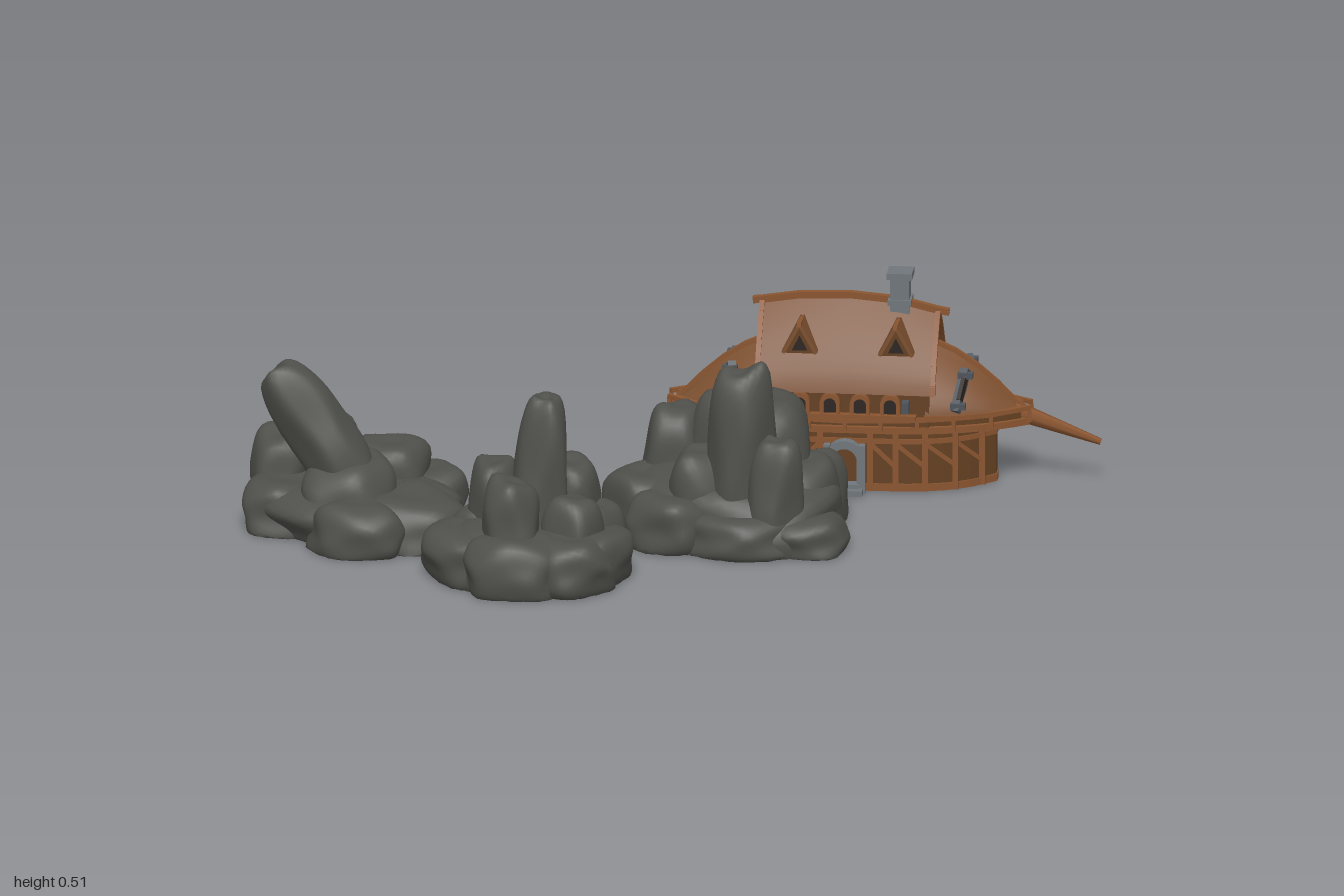
import * as THREE from 'three';
import { mergeVertices, toCreasedNormals } from 'three/addons/utils/BufferGeometryUtils.js';

const mat = (name, color, side = THREE.FrontSide) => {
  const m = new THREE.MeshStandardMaterial({ color, side });
  m.name = name;
  return m;
};
const V = (x, y, z) => new THREE.Vector3(x, y, z);

// Rock clusters: x, y, z, half sizes, taper, tilt
const clusters = {
  rightRocks: [
    [0.16, 0.04, 0, 0.27, 0.12, 0.23], [0.195, 0.2, 0.1, 0.085, 0.255, 0.078, 0.16],
    [0.2, 0.12, -0.085, 0.15, 0.2, 0.155, 0.1], [0.02, 0.13, -0.11, 0.085, 0.15, 0.1],
    [0.28, 0.1, 0.145, 0.07, 0.18, 0.075], [0.1, 0.09, 0.08, 0.09, 0.14, 0.09],
    [-0.05, 0.05, 0.03, 0.1, 0.1, 0.11], [0.03, 0.05, 0.13, 0.11, 0.08, 0.1],
    [0.2, 0.04, 0.17, 0.14, 0.06, 0.095], [0.35, 0.03, 0.12, 0.105, 0.06, 0.11],
    [0.34, 0.06, 0, 0.085, 0.13, 0.1], [0.34, 0.06, -0.09, 0.09, 0.11, 0.1], [0.05, 0.05, -0.16, 0.1, 0.12, 0.095]],
  middleRocks: [
    [-0.28, 0.04, 0.4, 0.2, 0.1, 0.18], [-0.262, 0.2, 0.335, 0.07, 0.235, 0.082, 0.22, -0.06],
    [-0.37, 0.12, 0.33, 0.065, 0.15, 0.08], [-0.2, 0.12, 0.28, 0.08, 0.14, 0.08],
    [-0.32, 0.13, 0.46, 0.07, 0.14, 0.075], [-0.18, 0.09, 0.4, 0.08, 0.12, 0.09],
    [-0.42, 0.05, 0.42, 0.12, 0.08, 0.12], [-0.3, 0.05, 0.51, 0.13, 0.09, 0.1], [-0.39, 0.05, 0.31, 0.09, 0.1, 0.1],
    [-0.13, 0.05, 0.41, 0.1, 0.08, 0.12], [-0.18, 0.05, 0.5, 0.11, 0.08, 0.09],
    [-0.31, 0.06, 0.26, 0.1, 0.12, 0.09], [-0.14, 0.05, 0.32, 0.09, 0.11, 0.09]],
  leftRocks: [
    [-0.72, 0.03, 0.05, 0.25, 0.09, 0.21], [-0.81, 0.24, 0.1, 0.08, 0.2, 0.075, 0.1, 0.6],
    [-0.92, 0.08, -0.05, 0.075, 0.13, 0.1], [-0.83, 0.08, -0.1, 0.1, 0.14, 0.085],
    [-0.66, 0.08, -0.03, 0.1, 0.11, 0.1], [-0.74, 0.07, 0.1, 0.12, 0.12, 0.12],
    [-0.58, 0.04, -0.05, 0.11, 0.08, 0.1], [-0.59, 0.04, 0.15, 0.14, 0.08, 0.13],
    [-0.71, 0.04, 0.24, 0.12, 0.08, 0.1], [-0.89, 0.04, 0.06, 0.11, 0.08, 0.12]],
};

// Boulder: a ball softly cut by random planes, with a test for points inside it
function makeRock([x, y, z, rx, ry, rz, taper = 0.06, tilt = 0], ball, rnd) {
  const planes = [V(0, 1.08, 0)], N = 16, turn = rnd() * 6;
  for (let i = 0; i < N; i++) {
    const h = 1 - (2 * i + 1) / N, r = Math.sqrt(1 - h * h), a = i * 2.4 + turn + rnd() * 0.6;
    planes.push(V(r * Math.cos(a), h, r * Math.sin(a)).divideScalar(0.85 + rnd() * 0.25));
  }
  const radius = d => {
    let s = 0;
    for (const n of planes) s += Math.max(0, n.dot(d)) ** 12;
    return s ** (-1 / 12) * (Math.hypot(d.x, d.z) ** 3.3 + Math.abs(d.y) ** 3.3) ** (-1 / 3.3);
  };
  const geo = ball.clone(), p = geo.attributes.position, v = V(0, 0, 0);
  const each = fn => {
    for (let i = 0; i < p.count; i++) {
      fn(v.fromBufferAttribute(p, i));
      p.setXYZ(i, v.x, v.y, v.z);
    }
  };
  each(() => v.normalize().multiplyScalar(radius(v)));
  geo.computeBoundingBox();
  const c = geo.boundingBox.getCenter(V(0, 0, 0)), half = geo.boundingBox.getSize(V(0, 0, 0)).multiplyScalar(0.5);
  const size = V(rx, ry, rz), axis = V(0, 0, 1), at = V(x, y, z);
  each(() => {
    v.sub(c).divide(half);
    const k = 1 - taper * v.y;
    v.multiply(V(k, 1, k)).multiply(size).applyAxisAngle(axis, tilt).add(at);
    v.y = Math.max(0, v.y);
  });
  const inside = q => {
    const w = q.clone().sub(at).applyAxisAngle(axis, -tilt).divide(size);
    const k = 1 - taper * w.y;
    w.divide(V(k, 1, k)).multiply(half).add(c);
    return w.length() < 0.97 * radius(w.clone().normalize());
  };
  return { geo, inside };
}

export function createModel() {
  const root = new THREE.Group();
  const rockMat = mat('dark rock', 0x4f504b, THREE.DoubleSide), roofMat = mat('roof brown', 0x7c5030, THREE.DoubleSide);
  const trimMat = mat('trim wood', 0x8a5530), wallMat = mat('wall wood', 0x644022);
  const stoneMat = mat('grey stone', 0x70767b), ironMat = mat('dark iron', 0x4d545b), darkMat = mat('dark opening', 0x2c2622);

  // Rocks: faces buried in one neighbour or lying on the ground are left out
  let seed = 7;
  const rnd = () => (seed = (seed * 16807) % 2147483647) / 2147483647;
  const sphere = new THREE.IcosahedronGeometry(1, 8);
  sphere.deleteAttribute('uv');
  sphere.deleteAttribute('normal');
  const ball = mergeVertices(sphere, 1e-4);
  for (const [name, list] of Object.entries(clusters)) {
    const group = new THREE.Group();
    group.name = name;
    root.add(group);
    const rocks = list.map(r => makeRock(r, ball, rnd));
    for (const rock of rocks) {
      const p = rock.geo.attributes.position, id = rock.geo.index.array, keep = [], cover = [];
      rock.geo.computeVertexNormals();
      for (let i = 0; i < p.count; i++) {
        const q = V(0, 0, 0).fromBufferAttribute(p, i);
        let bits = q.y <= 0 ? 1 : 0;
        rocks.forEach((o, k) => { if (o !== rock && o.inside(q)) bits |= 2 << k; });
        cover.push(bits);
      }
      for (let i = 0; i < id.length; i += 3) {
        const t = [id[i], id[i + 1], id[i + 2]];
        if (!(cover[t[0]] & cover[t[1]] & cover[t[2]])) keep.push(...t);
      }
      rock.geo.setIndex(keep);
      const m = new THREE.Mesh(rock.geo, rockMat);
      m.name = 'boulder';
      group.add(m);
    }
  }

  // Ship-shaped house, built around z = 0 then moved back
  const house = new THREE.Group();
  house.name = 'shipHouse';
  house.position.z = -0.44;
  root.add(house);
  const add = (name, geo, m) => {
    const mesh = new THREE.Mesh(geo, m);
    mesh.name = name;
    house.add(mesh);
  };
  const box = (name, w, h, d, x, y, z, m) => add(name, new THREE.BoxGeometry(w, h, d).translate(x, y, z), m);
  const beam = (name, a, b, w, h, m) => {
    const turn = new THREE.Matrix4().lookAt(b, a, V(0, 1, 0)).setPosition(a.clone().lerp(b, 0.5));
    add(name, new THREE.BoxGeometry(w, h, a.distanceTo(b) + 0.004).applyMatrix4(turn), m);
  };
  const beams = (name, pts, w, h) => pts.slice(1).forEach((q, i) => beam(name, pts[i], q, w, h, trimMat));
  // Lens-shaped plan: half width at x
  const plan = (len, w, tip, pow) => x => tip + (w - tip) * (1 - Math.min(1, Math.abs((x - 0.4) / len)) ** pow);
  const slab = (name, len, fn, y, h, m) => {
    const lower = [], upper = [];
    for (let i = 0; i <= 24; i++) {
      const x = 0.4 + len * (i / 12 - 1);
      lower.push(new THREE.Vector2(x, -fn(x)));
      upper.unshift(new THREE.Vector2(x, fn(x)));
    }
    const g = new THREE.ExtrudeGeometry(new THREE.Shape([...lower, ...upper]), { depth: h, bevelEnabled: false });
    add(name, g.rotateX(-Math.PI / 2).translate(0, y, 0), m);
  };
  const hull = plan(0.35, 0.118, 0.012, 4), deck = plan(0.43, 0.13, 0.022, 3);
  slab('lowerWall', 0.35, hull, 0, 0.15, wallMat);
  slab('sill', 0.353, x => hull(x) + 0.004, 0, 0.018, trimMat);
  slab('wallBand', 0.353, x => hull(x) + 0.004, 0.118, 0.012, trimMat);
  slab('deck', 0.43, deck, 0.145, 0.016, trimMat);
  slab('deckWall', 0.41, x => deck(x) - 0.012, 0.16, 0.02, wallMat);

  // Railing, wall posts and braces on both sides
  for (const s of [-1, 1]) {
    const rail = [];
    for (let i = -10; i <= 10; i++) {
      const x = 0.4 + 0.043 * i;
      rail.push(V(x, 0.176 + 0.0012 * Math.abs(i), s * deck(x)));
      if (i % 2 === 0) box('railPost', 0.01, 0.03, 0.01, x, 0.168, s * deck(x), trimMat);
    }
    beams('rail', rail, 0.01, 0.011);
    const xs = [0.08, 0.14, 0.21, 0.28, 0.34, 0.46, 0.52, 0.59, 0.66, 0.72];
    xs.forEach((x, i) => {
      box('wallPost', 0.014, 0.15, 0.012, x, 0.075, s * hull(x), trimMat);
      if (i === 4 || i === 9) return;
      const nx = xs[i + 1], [r0, r1] = i < 4 ? [0.06, 0.118] : [0.118, 0.06];
      beam('wallBrace', V(x, r0, s * hull(x)), V(nx, r1, s * hull(nx)), 0.01, 0.01, trimMat);
    });
  }

  // Pointed-arch cross-section as [z, y], from one eave over the ridge to the other
  const arch = (w, y0, y1, pow) => Array.from({ length: 17 }, (_, k) => {
    const i = k - 8, t = 1 - Math.abs(i) / 8;
    return [Math.sign(i) * w * (1 - t ** pow), y0 + (y1 - y0) * t];
  });
  const loft = (name, sections, pow) => {
    const pos = [], idx = [];
    sections.forEach(([x, w, y0, y1], k) => {
      for (const [z, y] of arch(w, y0, y1, pow)) pos.push(x, y, z);
      if (k) for (let i = 0; i < 16; i++) {
        const a = (k - 1) * 17 + i, b = a + 17;
        idx.push(a, a + 1, b, b, a + 1, b + 1);
      }
    });
    const g = new THREE.BufferGeometry();
    g.setAttribute('position', new THREE.Float32BufferAttribute(pos, 3));
    g.setIndex(idx);
    add(name, toCreasedNormals(g, 0.6), roofMat);
  };
  // Upper storey, main roof and gables
  box('upperWall', 0.4, 0.1, 0.236, 0.4, 0.205, 0, wallMat);
  const main = [[0.19, 0.135, 0.245, 0.432], [0.28, 0.135, 0.245, 0.446], [0.4, 0.135, 0.245, 0.45],
    [0.52, 0.135, 0.245, 0.44], [0.61, 0.135, 0.245, 0.418]];
  loft('mainRoof', main, 1.4);
  beams('mainRidge', [V(0.17, 0.43, 0), ...main.map(s => V(s[0], s[3], 0)), V(0.635, 0.414, 0)], 0.016, 0.016);
  const core = new THREE.Shape(arch(0.133, 0.245, 0.412, 1.4).map(p => new THREE.Vector2(...p)));
  add('gableWall', new THREE.ExtrudeGeometry(core, { depth: 0.4, bevelEnabled: false })
    .rotateY(-Math.PI / 2).translate(0.6, 0, 0), wallMat);
  for (const [x, w, y0, y1] of [main[0], main[4]])
    beams('gableRib', arch(w, y0, y1, 1.4).map(([z, y]) => V(x, y, z)), 0.012, 0.01);

  // Sloping end roofs, mirrored bow and stern, with eave boards and slanted windows
  for (const e of [-1, 1]) {
    const X = d => 0.4 + e * d;
    const end = [[0.19, 0.122, 0.178, 0.345], [0.25, 0.112, 0.178, 0.318], [0.3, 0.096, 0.178, 0.285],
      [0.35, 0.072, 0.178, 0.242], [0.39, 0.042, 0.178, 0.2], [0.41, 0.02, 0.178, 0.185]];
    loft('endRoof', end.map(([d, ...r]) => [X(d), ...r]), 1.8);
    beams('endRidge', end.map(s => V(X(s[0]), s[3], 0)), 0.014, 0.012);
    for (const s of [-1, 1]) {
      beams('eaveBoard', end.map(q => V(X(q[0]), 0.185, s * q[1])), 0.008, 0.012);
      const a = V(X(0.262), 0.2, s * 0.106), b = V(X(0.28), 0.285, s * 0.048), out = V(e * 0.004, 0.004, s * 0.004);
      beam('slantedWindowFrame', a, b, 0.02, 0.022, ironMat);
      for (const t of [0.1, 0.85]) {
        const m = a.clone().lerp(b, t).add(out);
        box('windowBracket', 0.036, 0.014, 0.018, m.x, m.y, m.z, ironMat);
      }
      beam('slantedWindowPane', a.clone().lerp(b, 0.25).add(out), b.clone().lerp(a, 0.25).add(out), 0.01, 0.02, darkMat);
    }
  }
  add('bowsprit', new THREE.CylinderGeometry(0.008, 0.024, 0.22, 6).rotateZ(-Math.PI / 2 - 0.34)
    .translate(0.895, 0.137, 0), trimMat);

  // Plates facing the given side
  const archShape = (w, h) => new THREE.Shape().moveTo(-w, 0).lineTo(w, 0).lineTo(w, h - w)
    .absarc(0, h - w, w, 0, Math.PI, false).lineTo(-w, 0);
  const gable = (w, h) => new THREE.Shape().moveTo(-w, 0).lineTo(w, 0).lineTo(0, h);
  const plate = (name, shape, depth, x, y, z, s, m) => {
    const g = new THREE.ExtrudeGeometry(shape, { depth, bevelEnabled: false, curveSegments: 6 });
    add(name, g.rotateY(s < 0 ? Math.PI : 0).translate(x, y, s * z), m);
  };
  for (const s of [-1, 1]) {
    // Window row with ledge and eave lanterns
    box('windowLedge', 0.34, 0.01, 0.024, 0.4, 0.188, s * 0.124, trimMat);
    for (let i = 0; i < 4; i++) {
      const x = 0.4 + (i - 1.5) * 0.072, frame = archShape(0.024, 0.05);
      frame.holes.push(archShape(0.015, 0.039));
      plate('windowFrame', frame, 0.016, x, 0.193, 0.118, s, trimMat);
      plate('windowPane', archShape(0.016, 0.04), 0.004, x, 0.193, 0.118, s, darkMat);
    }
    for (const x of [0.255, 0.545]) box('eaveLantern', 0.016, 0.028, 0.026, x, 0.215, s * 0.131, ironMat);
    // Dormers
    for (const x of [0.29, 0.52]) {
      plate('dormerBody', gable(0.036, 0.065), 0.07, x, 0.335, 0.04, s, wallMat);
      plate('dormerPane', gable(0.018, 0.036), 0.004, x, 0.343, 0.11, s, darkMat);
      for (const k of [-1, 1]) add('dormerRoof', new THREE.BoxGeometry(0.08, 0.008, 0.084).rotateZ(-k * 1.07)
        .translate(x + k * 0.02, 0.371, s * 0.074), roofMat);
      beam('dormerRidge', V(x, 0.4, s * 0.03), V(x, 0.41, s * 0.125), 0.01, 0.01, trimMat);
    }
    // Stone doorway with steps
    const portal = archShape(0.045, 0.13);
    portal.holes.push(archShape(0.03, 0.11));
    plate('doorArch', portal, 0.03, 0.4, 0, 0.116, s, stoneMat);
    plate('door', archShape(0.031, 0.111), 0.006, 0.4, 0, 0.118, s, wallMat);
    for (const k of [-1, 1]) box('doorPillar', 0.016, 0.12, 0.02, 0.4 + k * 0.042, 0.06, s * 0.14, stoneMat);
    box('lowerStep', 0.09, 0.014, 0.056, 0.4, 0.007, s * 0.144, stoneMat);
    box('upperStep', 0.07, 0.024, 0.035, 0.4, 0.012, s * 0.138, stoneMat);
  }
  // Chimney
  box('chimneyStack', 0.046, 0.1, 0.046, 0.52, 0.455, 0, stoneMat);
  box('chimneyCap', 0.06, 0.016, 0.06, 0.52, 0.506, 0, stoneMat);
  box('chimneyFoot', 0.056, 0.014, 0.056, 0.52, 0.44, 0, stoneMat);
  return root;
}
